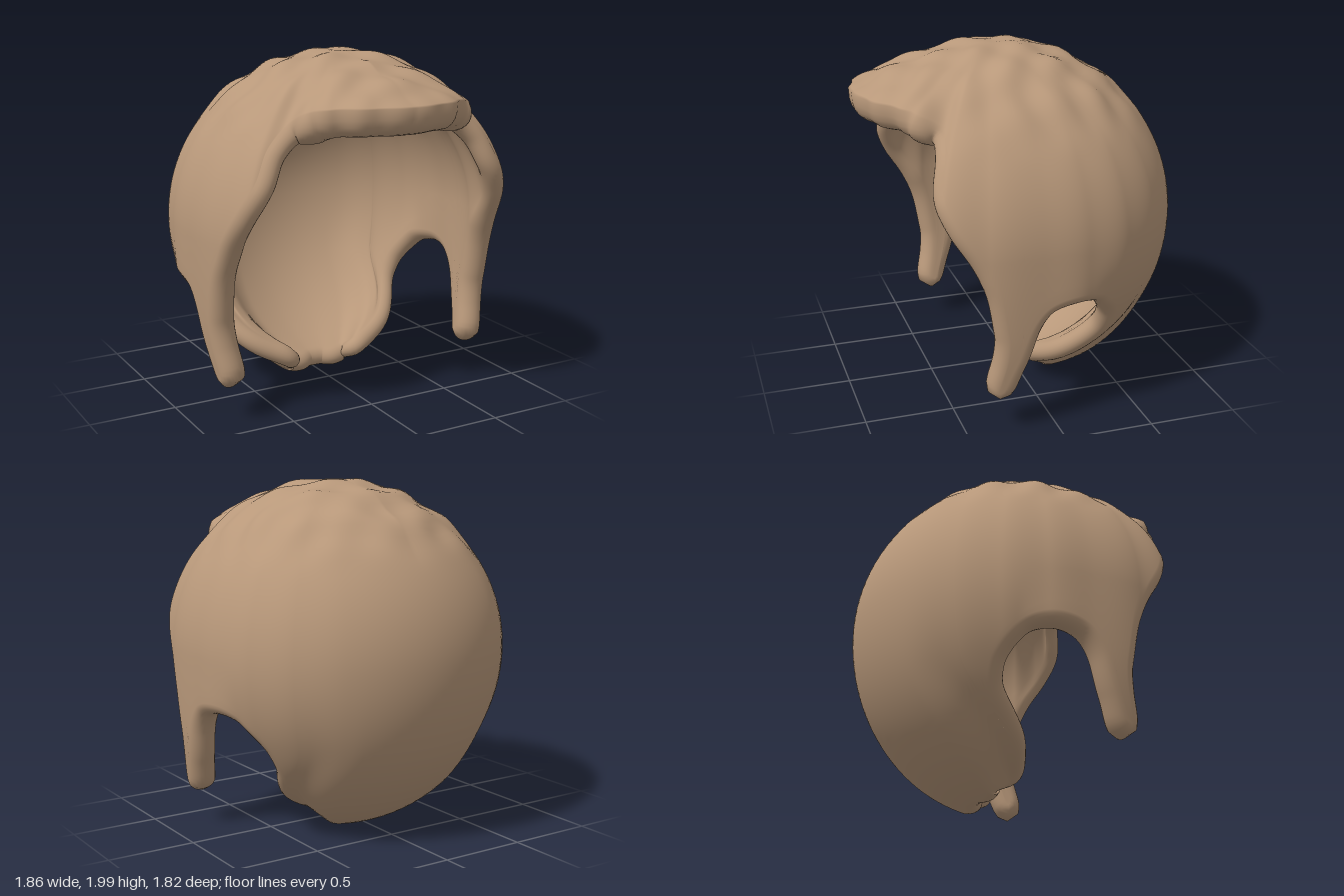
import * as THREE from 'three';
import { mergeVertices } from 'three/addons/utils/BufferGeometryUtils.js';

const CY = 1.03, CZ = 0.1, TOP = 0.96; // centre of the cap and its height above it
const ROWS = 56, RIM = 12, INNER = 26, HALF = 240;
const { smoothstep, lerp, clamp, degToRad, radToDeg } = THREE.MathUtils;

// Smooth interpolation through [angle, value] keys
function ramp(keys, a) {
  for (let i = 1; i < keys.length; i++) {
    if (a <= keys[i][0]) {
      const [a0, v0] = keys[i - 1], [a1, v1] = keys[i];
      return v0 + (v1 - v0) * smoothstep(a, a0, a1);
    }
  }
  return keys[keys.length - 1][1];
}

// Angles run from the front (0) over the model's left (90) to the back (180)
const RADIUS = [[0, 1.25], [16, 1.23], [32, 1.16], [40, 1.1], [52, 0.94], [58, 0.985],
  [72, 0.95], [90, 0.93], [105, 0.95], [120, 0.98], [135, 1.0], [150, 1.01], [180, 1.01]];
const DEPTH = [[0, 2.4], [95, 2.4], [115, 0.98], [139, 0.98], [156, 1.08], [180, 1.08]];
const FRINGE = [[0, 1], [30, 1], [56, 0], [180, 0]];
const THICKNESS = [[0, 0.165], [35, 0.165], [52, 0.12], [62, 0.13], [72, 0.155], [180, 0.165]];
// Forward sweep of sideburn and nape tips, in degrees
const SWEEP = [[0, 8], [95, 8], [115, 16], [135, 16], [175, 0]];

// Hairline: fringe, temple, sideburn, ear notch, nape as [angle, height]
const HAIRLINE = [[0, 1.76], [15, 1.76], [30, 1.755], [40, 1.735], [48, 1.69], [52.5, 1.64],
  [55.5, 1.55], [56.8, 1.38], [62, 1.22], [69, 1.04], [74.5, 0.85], [77.5, 0.6], [79.2, 0.42],
  [80.8, 0.26], [82, 0.26], [82.8, 0.42], [84.5, 0.6], [91, 0.75], [102, 0.8], [112, 0.765],
  [120, 0.66], [127, 0.52], [132.5, 0.4], [134.3, 0.3], [135.3, 0.2], [139, 0.13],
  [147, 0.06], [160, 0.012], [171, 0.015], [180, 0.015]];

// Wavy locks on the upper part of the cap
function locks(p) {
  const x = Math.abs(p.x);
  const w = Math.sin(25 * p.z + 3 * Math.cos(6 * x)) * 0.6
    + Math.sin(19 * x + 6 * p.z) * Math.cos(14 * p.z - 4 * x) * 0.7;
  return 0.013 * w * smoothstep(p.y, 1.5, 1.8);
}

// Outer point, normal and rim shape at fraction t from crown to hairline
function surface(az, yEnd, t, sign) {
  const w = ramp(FRINGE, az);
  const low = yEnd < CY ? ramp(DEPTH, az) : TOP;
  const phi = Math.acos(clamp((yEnd - CY) / low, -1, 1)) * t;
  const c = Math.cos(phi), s = Math.sin(phi);
  const h = c > 0 ? TOP : low, y = CY + h * c;
  // the crown is round, the outline takes over further down
  const R = lerp(1, ramp(RADIUS, az), c > 0 ? smoothstep(s, 0.2, 0.66) : 1);
  const r = R * s;
  const a = degToRad(az - ramp(SWEEP, az) * smoothstep(0.8 - y, 0.2, 0.7)) * sign;
  const p = new THREE.Vector3(r * Math.sin(a), y, CZ + r * Math.cos(a));
  const n = new THREE.Vector3(p.x / R / R, (y - CY) / h / h, (p.z - CZ) / R / R);
  n.y *= 1 - w * t ** 4;
  n.normalize();
  const thick = ramp(THICKNESS, az) + 0.11 * w * t ** 3
    - 0.04 * smoothstep(az, 112, 132) * t ** 6;
  p.addScaledVector(n, locks(p));
  return { p, n, thick, bulge: 0.07 + 0.085 * w, power: 1 - 0.25 * w };
}

function hairGeometry() {
  // Hairline spaced evenly, then mirrored to the other side
  const curve = new THREE.CatmullRomCurve3(
    HAIRLINE.map(([a, y]) => new THREE.Vector3(degToRad(a), y, 0)), false, 'centripetal');
  curve.arcLengthDivisions = 1500;
  const half = curve.getSpacedPoints(HALF).map(v => ({
    az: clamp(radToDeg(v.x), 0, 180), y: v.y, sign: 1 }));
  const line = [...half, ...half.slice(1, -1).reverse().map(k => ({ ...k, sign: -1 }))];
  const count = line.length;
  const ends = line.map(k => surface(k.az, k.y, 1, k.sign));

  const pos = [], index = [];
  line.forEach((k, j) => {
    const column = [];
    // outer side, crown to hairline
    for (let i = 0; i <= ROWS; i++) column.push(surface(k.az, k.y, i / ROWS, k.sign).p);
    // rounded rim, bulging away from the hair and fuller under the fringe
    const { p, n, thick, bulge, power } = ends[j];
    const tangent = ends[(j + 2) % count].p.clone().sub(ends[(j + count - 2) % count].p);
    const out = tangent.cross(n).normalize();
    const mid = p.clone().addScaledVector(n, -thick / 2);
    for (let i = 1; i < RIM; i++) {
      const a = Math.PI * i / RIM, ca = Math.cos(a);
      column.push(mid.clone()
        .addScaledVector(n, Math.sign(ca) * Math.abs(ca) ** power * thick / 2)
        .addScaledVector(out, Math.sin(a) ** power * bulge));
    }
    // inner side, hairline back to crown
    for (let i = INNER; i >= 0; i--) {
      const s = surface(k.az, k.y, i / INNER, k.sign);
      column.push(s.p.addScaledVector(s.n, -s.thick));
    }
    column.forEach(v => pos.push(v.x, v.y, v.z));
    const len = column.length, next = ((j + 1) % count) * len;
    for (let i = 0; i < len - 1; i++) {
      const a = j * len + i, b = next + i;
      index.push(a, a + 1, b, b, a + 1, b + 1);
    }
  });
  let geo = new THREE.BufferGeometry();
  geo.setAttribute('position', new THREE.Float32BufferAttribute(pos, 3));
  geo.setIndex(index);
  geo = mergeVertices(geo, 1e-5);
  geo.computeVertexNormals();
  return geo;
}

export function createModel() {
  const group = new THREE.Group();
  group.name = 'hairpiece';
  const hair = new THREE.Mesh(hairGeometry(), new THREE.MeshStandardMaterial({ color: 0xb8987a }));
  hair.name = 'hair';
  group.add(hair);
  return group;
}
